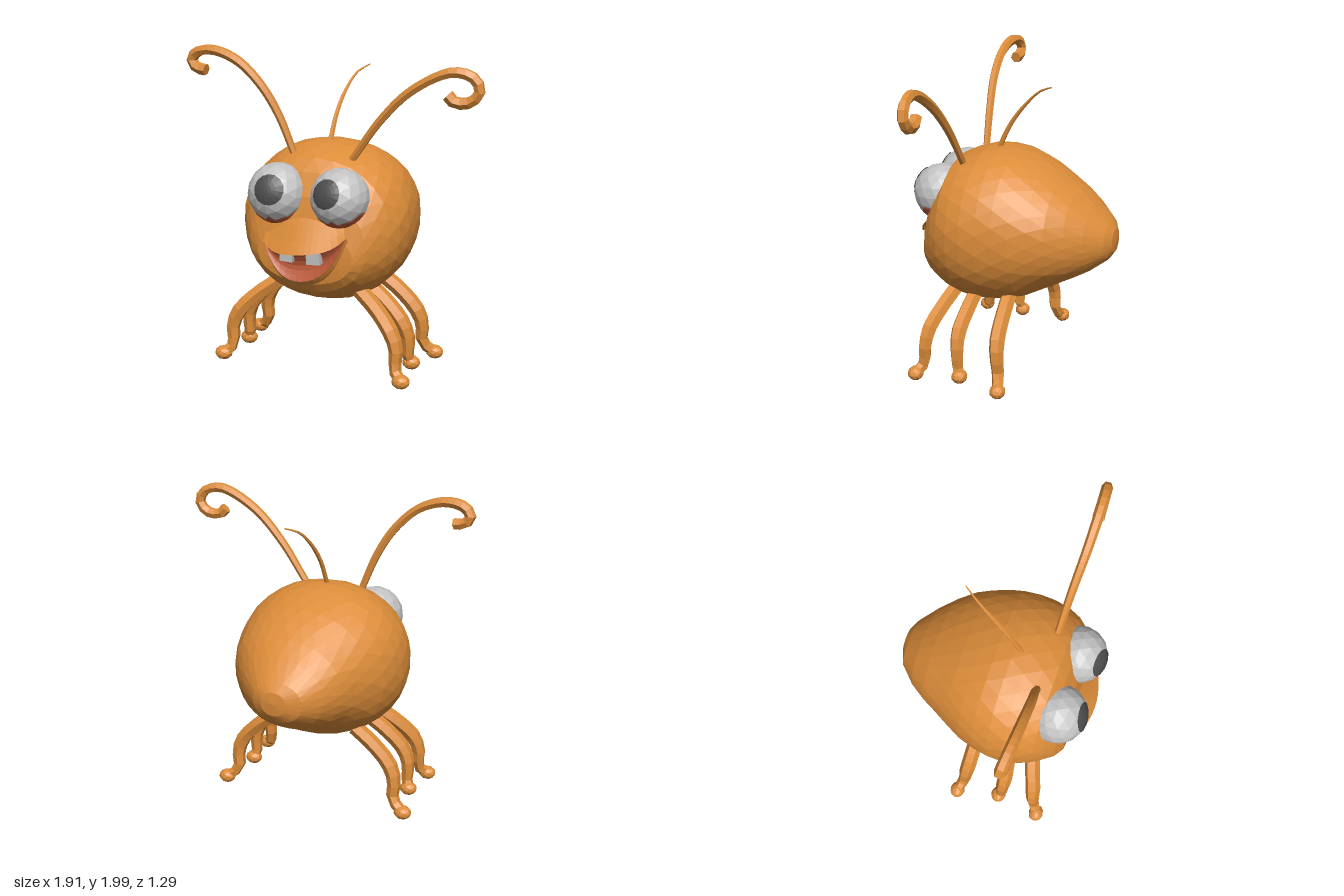
import * as THREE from 'three';

const make = (name, color) => new THREE.MeshStandardMaterial({ name, color, flatShading: true, side: THREE.DoubleSide });

// Surface from a rule f(u, v) -> [x, y, z], u and v in 0..1
function sheet(nu, nv, f) {
  const pos = [], idx = [];
  for (let j = 0; j <= nv; j++)
    for (let i = 0; i <= nu; i++) pos.push(...f(i / nu, j / nv, i, j));
  for (let j = 0; j < nv; j++)
    for (let i = 0; i < nu; i++) {
      const a = j * (nu + 1) + i, b = a + 1, c = a + nu + 1, d = c + 1;
      idx.push(a, b, c, b, d, c);
    }
  const g = new THREE.BufferGeometry();
  g.setAttribute('position', new THREE.Float32BufferAttribute(pos, 3));
  g.setIndex(idx);
  g.computeVertexNormals();
  return g;
}

// Tapered tube along points, radius given at start, middle and end
function limb(points, radii, steps, sides = 6) {
  const curve = new THREE.CatmullRomCurve3(points.map(p => new THREE.Vector3(...p)));
  const fr = curve.computeFrenetFrames(steps);
  return sheet(sides, steps + 2, (u, v, i, j) => {
    const k = Math.min(Math.max(j - 1, 0), steps), t = k / steps;
    let r = t < 0.5 ? THREE.MathUtils.lerp(radii[0], radii[1], t * 2) : THREE.MathUtils.lerp(radii[1], radii[2], t * 2 - 1);
    if (j === 0 || j === steps + 2) r = 0; // closed ends
    const a = (i % sides) / sides * Math.PI * 2;
    return curve.getPointAt(t)
      .addScaledVector(fr.normals[k], Math.cos(a) * r)
      .addScaledVector(fr.binormals[k], Math.sin(a) * r).toArray();
  });
}

export function createModel() {
  const model = new THREE.Group();
  const orange = make('orangeSkin', 0xdd8d3a), grey = make('eyeGrey', 0xc2c2c2);
  const dark = make('pupilDark', 0x4c4c4c), red = make('mouthRed', 0xbb5a39);
  const add = (name, geometry, material, parent = model) => {
    const m = new THREE.Mesh(geometry, material);
    m.name = name;
    parent.add(m);
    return m;
  };

  // Egg-shaped body: rings of [z, left edge, right edge, top, bottom]
  const rings = [
    [-0.645, -0.06, -0.06, 0.9, 0.9], [-0.635, -0.14, 0.02, 0.97, 0.82], [-0.6, -0.23, 0.09, 1.02, 0.77],
    [-0.5, -0.33, 0.20, 1.125, 0.695], [-0.4, -0.40, 0.29, 1.21, 0.64], [-0.3, -0.455, 0.36, 1.28, 0.595],
    [-0.2, -0.51, 0.405, 1.34, 0.54], [-0.1, -0.56, 0.44, 1.385, 0.49], [0, -0.59, 0.46, 1.42, 0.46],
    [0.1, -0.607, 0.47, 1.432, 0.443], [0.2, -0.605, 0.47, 1.425, 0.44], [0.3, -0.585, 0.45, 1.395, 0.455],
    [0.38, -0.55, 0.415, 1.36, 0.485], [0.44, -0.505, 0.37, 1.285, 0.515], [0.5, -0.45, 0.31, 1.15, 0.56],
    [0.54, -0.38, 0.24, 0.97, 0.62], [0.552, -0.25, 0.11, 0.88, 0.69], [0.552, -0.07, -0.07, 0.79, 0.79],
  ];
  const sides = 28;
  const boxy = c => Math.sign(c) * Math.pow(Math.abs(c), 0.93);
  add('body', sheet(sides, rings.length - 1, (u, v, i, j) => {
    const [z, x0, x1, top, bot] = rings[j];
    const k = i % sides, a = (k + j * 0.5) / sides * Math.PI * 2;
    const n = Math.sin(k * 12.9 + j * 78.2) * 437.5; // slight unevenness
    const s = 1 + (n - Math.floor(n) - 0.5) * 0.01;
    return [(x0 + x1) / 2 + boxy(Math.cos(a)) * (x1 - x0) / 2 * s, (top + bot) / 2 + boxy(Math.sin(a)) * (top - bot) / 2 * s, z];
  }), orange);

  // Smiling mouth, with w from -1 to 1 across
  const cx = -0.065, half = 0.27;
  const upperY = w => 0.828 + 0.072 * w ** 4 + 0.034 * w;
  const lowerY = w => 0.65 + 0.14 * w * w + 0.11 * w ** 4 + 0.034 * w;
  const rimZ = w => 0.602 - 0.05 * w * w;
  const lipZ = w => 0.645 - 0.085 * w * w;
  add('mouth', sheet(14, 6, (u, v) => {
    const w = u * 2 - 1;
    return [cx + w * half, THREE.MathUtils.lerp(upperY(w), lowerY(w), v), rimZ(w) - 0.042 * Math.sin(v * Math.PI) * (1 - w * w)];
  }), red);
  add('chin', sheet(14, 2, (u, v) => {
    const w = u * 2 - 1;
    return [cx + w * half * (1 + 0.05 * v), lowerY(w) - 0.05 * v, rimZ(w) - 0.09 * v * v];
  }), orange);
  // Overhanging upper lip: underside, edge, then slope up to the face
  add('upperLip', sheet(14, 4, (u, v, i, j) => {
    const w = u * 2 - 1;
    if (j === 0) return [cx + w * half, upperY(w) + 0.015, lipZ(w) - 0.1];
    const t = (j - 1) / 3;
    return [cx + w * half * (1 - 0.2 * t), THREE.MathUtils.lerp(upperY(w), 1.03, t),
      THREE.MathUtils.lerp(lipZ(w), 0.525 - 0.03 * w * w, Math.pow(t, 0.9))];
  }), orange);
  [[-0.16, 0.083], [0.015, 0.088]].forEach(([x, width], i) => {
    const tooth = add('tooth' + (i + 1), new THREE.BoxGeometry(width, 0.075, 0.04), grey);
    tooth.position.set(x, 0.803, 0.585);
    tooth.rotation.z = i ? 0.08 : -0.05;
  });

  // Eyes with red lids behind and dark pupils in front
  [['rightEye', -0.277, 1.144, 0.186, 0.015, 0.06], ['leftEye', 0.128, 1.15, 0.18, -0.031, 0.06]]
    .forEach(([name, x, y, r, px, py]) => {
      const eye = new THREE.Group();
      eye.name = name;
      eye.position.set(x, y, 0.452);
      model.add(eye);
      add('eyeball', new THREE.IcosahedronGeometry(r, 2), grey, eye);
      add('eyeLid', new THREE.IcosahedronGeometry(r * 0.98, 2), red, eye).position.set(0, -0.018, -0.012);
      const pupil = add('pupil', new THREE.SphereGeometry(r * 1.012, 14, 4, 0, Math.PI * 2, 0, 0.52), dark, eye);
      const dir = new THREE.Vector3(px, py, Math.sqrt(r * r - px * px - py * py)).normalize();
      pupil.quaternion.setFromUnitVectors(new THREE.Vector3(0, 1, 0), dir);
    });

  // Curled antennae and the thin hair on top
  add('rightAntenna', limb([
    [-0.235, 1.34, 0.3], [-0.34, 1.6, 0.315], [-0.45, 1.775, 0.33], [-0.6, 1.91, 0.335], [-0.77, 1.965, 0.33],
    [-0.89, 1.943, 0.32], [-0.925, 1.895, 0.315], [-0.895, 1.85, 0.315], [-0.825, 1.838, 0.32],
  ], [0.022, 0.029, 0.037], 28), orange);
  add('leftAntenna', limb([
    [0.14, 1.35, 0.3], [0.33, 1.61, 0.315], [0.53, 1.8, 0.33], [0.77, 1.912, 0.33], [0.89, 1.88, 0.32],
    [0.92, 1.81, 0.315], [0.87, 1.747, 0.315], [0.775, 1.74, 0.32], [0.735, 1.78, 0.325],
  ], [0.022, 0.03, 0.037], 28), orange);
  add('topHair', limb([
    [-0.07, 1.4, 0.15], [-0.062, 1.58, 0.06], [-0.042, 1.72, -0.05], [-0.01, 1.81, -0.15], [0.04, 1.85, -0.24],
  ], [0.017, 0.013, 0.004], 12), orange);

  // Three legs a side: hip z, knee z, ankle z, foot z, foot reach, foot height
  const legs = [
    ['front', 0.33, 0.42, 0.445, 0.48, 0.6, 0.06],
    ['middle', 0.19, 0.22, 0.21, 0.195, 0.565, 0.07],
    ['rear', -0.03, -0.04, -0.06, -0.085, 0.625, 0.045],
  ];
  for (const side of [-1, 1])
    for (const [name, hip, knee, ankle, foot, reach, h] of legs) {
      const leg = new THREE.Group();
      leg.name = name + (side > 0 ? 'LeftLeg' : 'RightLeg');
      leg.position.x = -0.07;
      model.add(leg);
      const end = [side * reach, h, foot];
      add('shin', limb([
        [side * 0.27, 0.55, hip], [side * 0.4, 0.455, (hip + knee) / 2], [side * 0.51, 0.34, knee],
        [side * 0.55, 0.24, (knee + ankle) / 2], [side * 0.55, 0.11, ankle], end,
      ], [0.05, 0.05, 0.034], 10), orange, leg);
      const pad = add('foot', new THREE.IcosahedronGeometry(0.05, 1), orange, leg);
      pad.position.set(...end);
      pad.scale.set(1.15, 0.9, 1);
    }
  return model;
}
